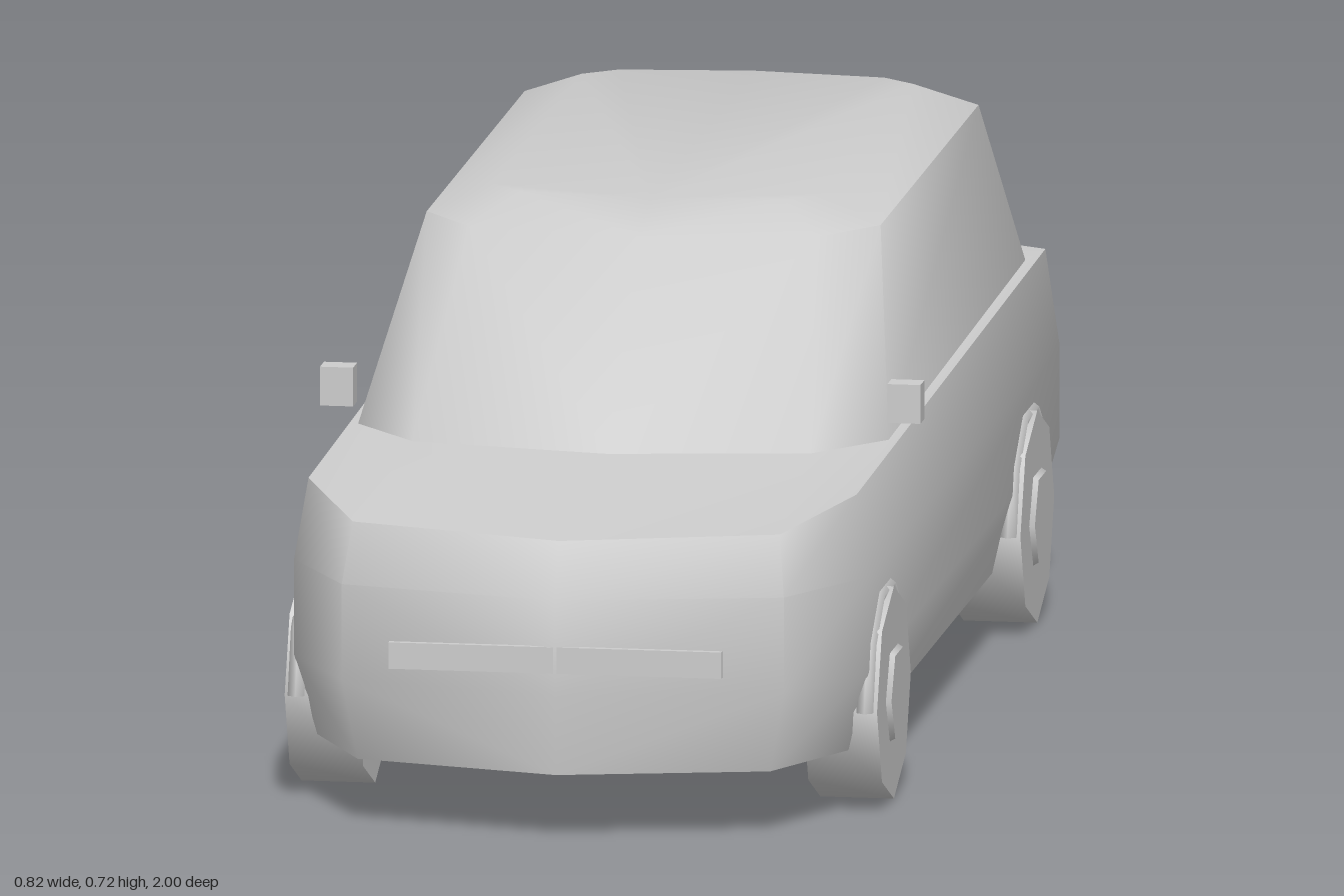
import * as THREE from 'three';
import { toCreasedNormals } from 'three/addons/utils/BufferGeometryUtils.js';

// Mirror a half outline (front centre, round the +x side, rear centre) into a closed ring
const ring = (half) => [
  ...half,
  ...half.slice(1, -1).reverse().map(([x, y, z]) => [-x, y, z]),
];
const flatRing = (y, half) => ring(half.map(([x, z]) => [x, y, z]));

// Skin a stack of rings from bottom to top, with optional end caps
function loft(rings, { capBottom = false, capTop = false } = {}) {
  const pos = [];
  const tri = (a, b, c) => pos.push(...a, ...b, ...c);
  const n = rings[0].length;
  for (let k = 0; k < rings.length - 1; k++) {
    const lo = rings[k], hi = rings[k + 1];
    for (let i = 0; i < n; i++) {
      const j = (i + 1) % n;
      // keep the diagonals mirror-symmetric
      if (i < n / 2) {
        tri(lo[i], lo[j], hi[j]);
        tri(lo[i], hi[j], hi[i]);
      } else {
        tri(lo[i], lo[j], hi[i]);
        tri(lo[j], hi[j], hi[i]);
      }
    }
  }
  const first = rings[0], last = rings[rings.length - 1];
  for (let i = 1; i < n - 1; i++) {
    if (capBottom) tri(first[0], first[i + 1], first[i]);
    if (capTop) tri(last[0], last[i], last[i + 1]);
  }
  const geo = new THREE.BufferGeometry();
  geo.setAttribute('position', new THREE.Float32BufferAttribute(pos, 3));
  return toCreasedNormals(geo, THREE.MathUtils.degToRad(50));
}

export function createModel() {
  const car = new THREE.Group();
  car.name = 'car';
  const paint = new THREE.MeshStandardMaterial({ color: 0xcccccc });
  paint.name = 'light grey';

  const add = (name, geo, x = 0, y = 0, z = 0, parent = car) => {
    const mesh = new THREE.Mesh(geo, paint);
    mesh.name = name;
    mesh.position.set(x, y, z);
    parent.add(mesh);
    return mesh;
  };

  // Outlines of the body and cabin
  const shoulder = ring([
    [0, 0.405, 0.965], [0.29, 0.41, 0.9], [0.372, 0.44, 0.76],
    [0.375, 0.463, -0.84], [0.29, 0.452, -0.935], [0, 0.437, -0.98],
  ]);
  const cabinBase = ring([
    [0, 0.444, 0.555], [0.27, 0.444, 0.51], [0.36, 0.446, 0.41],
    [0.358, 0.46, -0.775], [0.27, 0.46, -0.87], [0, 0.46, -0.913],
  ]);

  // Lower body
  add('body', loft([
    flatRing(0.09, [[0, 0.99], [0.28, 0.92], [0.36, 0.76], [0.36, -0.85], [0.28, -0.945], [0, -0.985]]),
    flatRing(0.2, [[0, 0.999], [0.3, 0.93], [0.39, 0.77], [0.39, -0.865], [0.3, -0.96], [0, -0.998]]),
    flatRing(0.33, [[0, 0.999], [0.3, 0.93], [0.39, 0.77], [0.39, -0.865], [0.3, -0.96], [0, -1]]),
    shoulder,
  ], { capBottom: true }));

  // Bonnet, side ledges and rear shelf
  add('bonnetAndLedge', loft([shoulder, cabinBase]));

  // Cabin with sloped windscreen and chamfered roof
  add('cabin', loft([
    cabinBase,
    flatRing(0.687, [[0, 0.28], [0.235, 0.245], [0.308, 0.15], [0.308, -0.69], [0.235, -0.775], [0, -0.807]]),
    flatRing(0.72, [[0, 0.18], [0.18, 0.16], [0.225, 0.115], [0.225, -0.655], [0.18, -0.692], [0, -0.712]]),
  ], { capTop: true }));

  // Light bar across the nose
  add('lightBar', new THREE.BoxGeometry(0.452, 0.036, 0.009), 0, 0.248, 0.994);

  // Wheels, hubs and arches
  const tyre = toCreasedNormals(
    new THREE.CylinderGeometry(0.145, 0.145, 0.1, 8).rotateZ(-Math.PI / 2), 0.85);
  const hub = new THREE.CylinderGeometry(0.065, 0.078, 0.02, 6).rotateY(Math.PI / 2).rotateZ(-Math.PI / 2);
  hub.rotateX(Math.PI / 2);
  const arch = new THREE.TorusGeometry(0.145, 0.012, 5, 5, Math.PI).rotateY(Math.PI / 2);
  for (const side of [1, -1]) {
    const sideName = side > 0 ? 'left' : 'right';
    for (const [end, z] of [['Front', 0.63], ['Rear', -0.6]]) {
      const wheel = new THREE.Group();
      wheel.name = `${sideName}${end}Wheel`;
      wheel.position.set(side * 0.352, 0.145, z);
      if (side < 0) wheel.rotation.y = Math.PI;
      car.add(wheel);
      add('tyre', tyre, 0, 0, 0, wheel);
      add('hub', hub, 0.047, 0, 0, wheel);
      add('wheelArch', arch, 0.034, 0, 0, wheel);
    }
    // Door mirror
    add(`${sideName}Mirror`, new THREE.BoxGeometry(0.045, 0.053, 0.035), side * 0.385, 0.501, 0.42);
  }
  return car;
}
